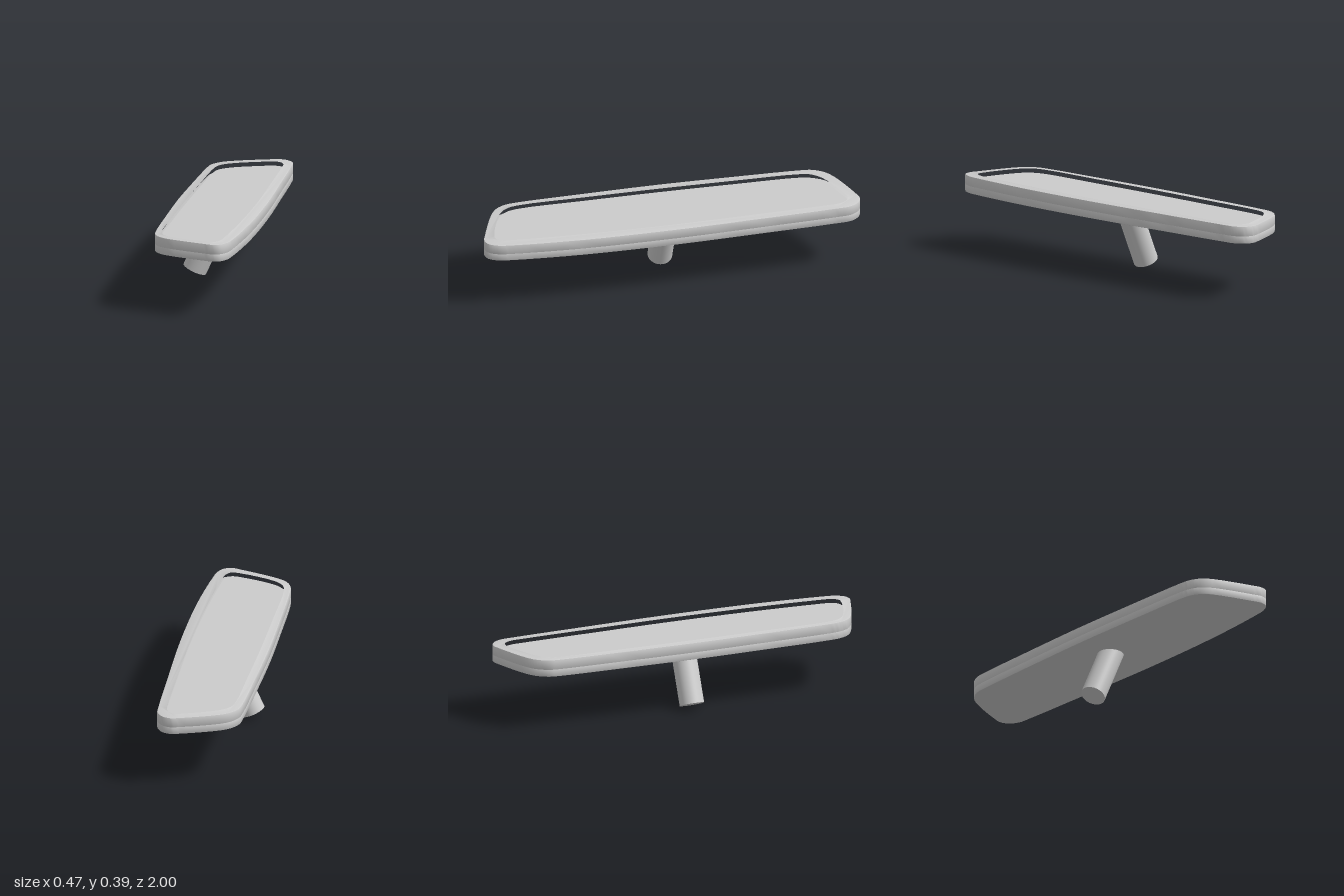
import * as THREE from 'three';
import { toCreasedNormals } from 'three/addons/utils/BufferGeometryUtils.js';

const material = new THREE.MeshStandardMaterial({ color: 0xcccccc });

// Plan outlines as [x, z], running around the housing and around the glass opening
const OUTER = [
  [-0.238, 0], [-0.23, -0.4], [-0.217, -0.77], [-0.209, -0.82], [-0.175, -0.875], [-0.12, -0.915],
  [0.08, -0.99], [0.125, -1], [0.17, -0.982], [0.202, -0.935], [0.21, -0.85], [0.222, -0.5],
  [0.236, 0], [0.23, 0.5], [0.203, 0.86], [0.19, 0.94], [0.16, 0.988], [0.12, 1],
  [0.07, 0.985], [-0.14, 0.9], [-0.19, 0.86], [-0.215, 0.81], [-0.224, 0.75], [-0.233, 0.4],
];
const INNER = [
  [-0.198, 0], [-0.191, -0.4], [-0.18, -0.75], [-0.165, -0.805], [-0.11, -0.86],
  [0.05, -0.928], [0.1, -0.942], [0.14, -0.93], [0.163, -0.89], [0.17, -0.8], [0.178, -0.45],
  [0.186, 0], [0.178, 0.45], [0.157, 0.82], [0.147, 0.9], [0.12, 0.94], [0.07, 0.938],
  [-0.13, 0.862], [-0.178, 0.81], [-0.195, 0.74], [-0.198, 0.4],
];

// Smooth closed outline, with plan z turned into shape -y
function outline(points) {
  const curve = new THREE.CatmullRomCurve3(
    points.map(([x, z]) => new THREE.Vector3(x, -z, 0)), true, 'centripetal');
  const n = points.length * 4;
  return curve.getPoints(n).slice(0, n).map((p) => new THREE.Vector2(p.x, p.y));
}

function addMesh(group, name, geometry) {
  const mesh = new THREE.Mesh(geometry, material);
  mesh.name = name;
  group.add(mesh);
  return mesh;
}

// Upright slab from y0 to y1 with a small edge bevel inside the outline
function slab(shape, y0, y1) {
  const b = 0.004;
  const geometry = new THREE.ExtrudeGeometry(shape, {
    depth: y1 - y0 - 2 * b, bevelThickness: b, bevelSize: b, bevelOffset: -b, bevelSegments: 2,
  });
  geometry.rotateX(-Math.PI / 2).translate(0, y0 + b, 0);
  return toCreasedNormals(geometry, 0.6);
}

export function createModel() {
  const group = new THREE.Group();
  group.name = 'rearViewMirror';

  // Housing: back shell and front rim, overlapping at the seam
  addMesh(group, 'backShell', slab(new THREE.Shape(outline(OUTER)), 0.304, 0.346));
  const rimShape = new THREE.Shape(outline(OUTER));
  rimShape.holes.push(new THREE.Path(outline(INNER)));
  addMesh(group, 'rim', slab(rimShape, 0.34, 0.395));

  // Recessed glass
  const glass = new THREE.ShapeGeometry(new THREE.Shape(outline(INNER)));
  glass.rotateX(-Math.PI / 2).translate(0, 0.372, 0);
  addMesh(group, 'glass', glass);

  // Slanted mounting stem
  const bottom = new THREE.Vector3(-0.1485, 0.0277, 0.003);
  const top = new THREE.Vector3(-0.0135, 0.325, 0.003);
  const axis = top.clone().sub(bottom);
  const stem = addMesh(group, 'stem', new THREE.CylinderGeometry(0.0645, 0.0645, axis.length(), 40));
  stem.position.copy(bottom).add(top).multiplyScalar(0.5);
  stem.quaternion.setFromUnitVectors(new THREE.Vector3(0, 1, 0), axis.normalize());

  return group;
}
